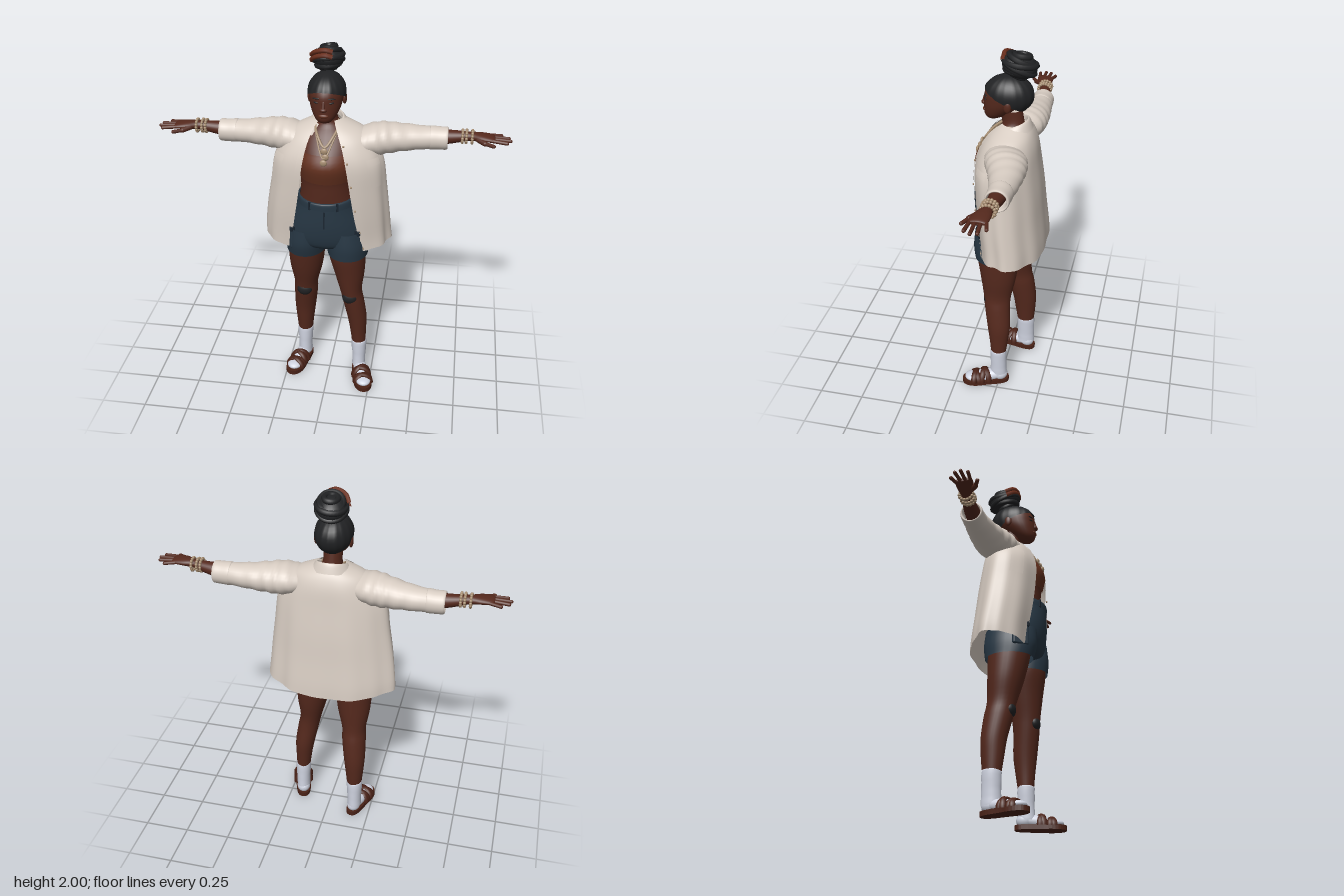
import * as THREE from 'three';
import { RoundedBoxGeometry } from 'three/addons/geometries/RoundedBoxGeometry.js';

const mat = (name, color, side = THREE.FrontSide) => {
  const m = new THREE.MeshStandardMaterial({ color, side });
  m.name = name;
  return m;
};
const M = {
  skin: mat('skin', 0x55291d), top: mat('topBrown', 0x64311f),
  shirt: mat('shirtCream', 0xd8cdc3, THREE.DoubleSide),
  shorts: mat('shortsNavy', 0x273744, THREE.DoubleSide), trim: mat('darkNavy', 0x1a2530),
  black: mat('hairBlack', 0x212224, THREE.DoubleSide), rust: mat('rustStrand', 0x6b2f1d),
  sandal: mat('sandalBrown', 0x4b2318), sock: mat('sockWhite', 0xcfd3e0), bead: mat('beadTan', 0xa58c70),
};

// Surface from a rule f(u, v) -> [x, y, z]
function grid(f, nu, nv, closed, flip) {
  const pos = [], idx = [], w = closed ? nv : nv + 1;
  for (let i = 0; i <= nu; i++) for (let j = 0; j < w; j++) pos.push(...f(i / nu, j / nv));
  for (let i = 0; i < nu; i++) for (let j = 0; j < nv; j++) {
    const k = (j + 1) % w, a = i * w + j, b = i * w + k, c = a + w, d = b + w;
    if (flip) idx.push(a, d, b, a, c, d); else idx.push(a, b, d, a, d, c);
  }
  const g = new THREE.BufferGeometry();
  g.setAttribute('position', new THREE.Float32BufferAttribute(pos, 3));
  g.setIndex(idx);
  g.computeVertexNormals();
  return g;
}

// Smooth value between cross-sections, u from 0 to 1
function sample(S, u) {
  const t = u * (S.length - 1), i = Math.min(Math.floor(t), S.length - 2), f = t - i;
  const at = (k) => S[Math.max(0, Math.min(S.length - 1, k))];
  return S[i].map((p1, c) => {
    const p0 = at(i - 1)[c], p2 = at(i + 1)[c], p3 = at(i + 2)[c];
    return p1 + 0.5 * f * (p2 - p0 + f * (2 * p0 - 5 * p1 + 4 * p2 - p3 + f * (3 * (p1 - p2) + p3 - p0)));
  });
}

// Oval sections [along, min1, max1, min2, max2, openMinX, openMaxX] along y (x, z) or x (y, z)
function loft(S, { axis = 'y', n = 28, steps = 4, u = [0, 1], v = [0, 1], grow = 0, fold, cap = false } = {}) {
  if (cap) {
    const tip = (s) => [s[0], ...[1, 3].flatMap((k) => {
      const c = (s[k] + s[k + 1]) / 2;
      return [c - 0.001, c + 0.001];
    })];
    S = [tip(S[0]), ...S, tip(S[S.length - 1])];
  }
  const open = S[0].length > 5;
  const flip = (S[S.length - 1][0] < S[0][0]) !== (axis === 'x');
  return grid((a, b) => {
    const uu = u[0] + (u[1] - u[0]) * a, vv = v[0] + (v[1] - v[0]) * b;
    const s = sample(S, uu), c = (s[1] + s[2]) / 2, d = (s[3] + s[4]) / 2, r = (s[2] - s[1]) / 2;
    const t0 = open ? Math.asin((s[6] - c) / r) : 0;
    const t1 = open ? Math.PI * 2 + Math.asin((s[5] - c) / r) : Math.PI * 2;
    const t = t0 + (t1 - t0) * vv, [k, dy] = fold ? fold(uu, t) : [1, 0];
    const p = c + (r * k + grow) * Math.sin(t), q = d + ((s[4] - s[3]) / 2 * k + grow) * Math.cos(t);
    return axis === 'y' ? [p, s[0] + dy, q] : [s[0], p, q];
  }, (S.length - 1) * steps, n, !open && v[1] - v[0] === 1, flip);
}

function add(parent, name, geo, material, pos = [0, 0, 0], rot = [0, 0, 0], scale = [1, 1, 1]) {
  const m = new THREE.Mesh(geo, material);
  m.name = name;
  m.position.set(...pos); m.rotation.set(...rot); m.scale.set(...scale);
  parent.add(m);
  return m;
}
const ball = (p, name, material, pos, size, rot) => add(p, name, new THREE.SphereGeometry(1, 20, 14), material, pos, rot, size);
const tube = (pts, r, closed) => new THREE.TubeGeometry(
  new THREE.CatmullRomCurve3(pts.map((p) => new THREE.Vector3(...p)), closed), 48, r, 7, closed);
function rod(p, name, material, a, b, r) {
  const A = new THREE.Vector3(...a), d = new THREE.Vector3(...b).sub(A), l = d.length();
  const m = add(p, name, new THREE.CapsuleGeometry(r, l, 4, 8), material, A.addScaledVector(d, 0.5).toArray());
  m.quaternion.setFromUnitVectors(new THREE.Vector3(0, 1, 0), d.normalize());
}

function buildHead(g) {
  const X = -0.017;
  const face = [[1.638, 0.03, 0.04, 0.095], [1.66, 0.054, -0.01, 0.112], [1.7, 0.075, -0.06, 0.114],
    [1.74, 0.086, -0.1, 0.113], [1.785, 0.088, -0.115, 0.108], [1.83, 0.073, -0.1, 0.08], [1.855, 0.03, -0.05, 0.03]];
  add(g, 'face', loft(face.map(([y, r, b, f]) => [y, X - r, X + r, b, f]), { cap: true }), M.skin);
  ball(g, 'nose', M.skin, [X, 1.716, 0.112], [0.02, 0.012, 0.017]);
  rod(g, 'noseBridge', M.skin, [X, 1.755, 0.106], [X, 1.722, 0.116], 0.009);
  ball(g, 'lips', M.top, [X, 1.682, 0.109], [0.026, 0.011, 0.011]);
  for (const s of [-1, 1]) {
    ball(g, 'ear', M.skin, [X + s * 0.09, 1.735, -0.025], [0.012, 0.032, 0.02]);
    ball(g, 'eye', M.black, [X + s * 0.038, 1.75, 0.098], [0.015, 0.005, 0.006], [0, s * 0.4, 0]);
    ball(g, 'brow', M.black, [X + s * 0.04, 1.771, 0.098], [0.022, 0.004, 0.005], [0, s * 0.4, -s * 0.1]);
  }
  // Hair cap: an ellipsoid cut along the hairline
  add(g, 'hairCap', grid((u, v) => {
    const t = v * Math.PI * 2, low = Math.asin((-0.025 + 0.06 * Math.cos(t)) / 0.105);
    const f = low + (Math.PI / 2 - low) * u, r = Math.cos(f) * (1 + 0.012 * Math.cos(16 * t));
    return [X + 0.099 * r * Math.sin(t), 1.77 + 0.105 * Math.sin(f), -0.015 + 0.13 * r * Math.cos(t)];
  }, 14, 64, true), M.black);
  // Bun wound from twisted strands
  const bun = new THREE.Group();
  bun.name = 'bun';
  bun.position.set(X, 1.928, -0.07);
  bun.rotation.x = -0.25;
  g.add(bun);
  ball(bun, 'bunCore', M.black, [0, 0, 0], [0.08, 0.062, 0.092]);
  for (let i = 0; i < 6; i++) {
    const c = Math.cos(-1.1 + i * 0.44);
    add(bun, 'bunStrand', new THREE.TorusGeometry(0.074 * c, 0.015, 7, 32), M.black,
      [0, -0.05 + i * 0.021, 0], [Math.PI / 2 + 0.14 * (i % 2 ? 1 : -1), 0.12, 0], [1, 1.12, 1]);
  }
  for (const y of [0.0, 0.026]) add(bun, 'rustStrand', tube([[-0.083, y - 0.012, 0.025], [-0.055, y + 0.006, 0.07],
    [-0.005, y + 0.016, 0.09], [0.03, y + 0.008, 0.084]], 0.013), M.rust);
}

function buildTorso(g) {
  const torso = [[1.17, -0.165, 0.14, -0.13, 0.13], [1.24, -0.155, 0.13, -0.13, 0.135], [1.31, -0.155, 0.13, -0.13, 0.14],
    [1.4, -0.165, 0.14, -0.13, 0.16], [1.47, -0.165, 0.14, -0.125, 0.13], [1.55, -0.14, 0.115, -0.115, 0.066],
    [1.595, -0.08, 0.055, -0.1, 0.025], [1.63, -0.065, 0.034, -0.095, 0.02], [1.69, -0.065, 0.034, -0.085, 0.04]];
  add(g, 'body', loft(torso), M.skin);
  add(g, 'cropTop', loft(torso.slice(2, 5), { grow: 0.004 }), M.top);
  // Necklaces and pendant
  for (const [d, r] of [[0, 0.007], [0.05, 0.0045]]) add(g, 'necklace', tube([[-0.072, 1.6, 0], [-0.052, 1.555 - d / 2, 0.075 + d / 4],
    [-0.012, 1.51 - d, 0.112 + d / 1.4], [0.027, 1.555 - d / 2, 0.075 + d / 4], [0.048, 1.6, 0], [-0.012, 1.615, -0.1]], r, true), M.bead);
  for (let i = 0; i < 3; i++) ball(g, 'pendant', M.bead, [-0.012 + 0.008 * (i % 2), 1.495 - i * 0.027, 0.127 + i * 0.013], [0.019, 0.018, 0.009]);
}

function buildShirt(g) {
  const S = [[0.885, -0.37, 0.335, -0.23, 0.125, -0.215, 0.19], [0.96, -0.367, 0.328, -0.226, 0.13, -0.2, 0.175],
    [1.1, -0.35, 0.317, -0.212, 0.145, -0.175, 0.15], [1.25, -0.325, 0.302, -0.2, 0.155, -0.15, 0.128],
    [1.4, -0.3, 0.285, -0.182, 0.155, -0.13, 0.105], [1.5, -0.25, 0.24, -0.17, 0.125, -0.11, 0.08],
    [1.56, -0.2, 0.19, -0.152, 0.085, -0.09, 0.055], [1.6, -0.125, 0.105, -0.13, 0.045, -0.07, 0.035],
    [1.62, -0.085, 0.06, -0.112, 0.02, -0.055, 0.025]];
  const fold = (u, t) => {
    const w = Math.max(0, 1 - u * 1.25);
    return [1 + w * (0.024 * Math.cos(7 * t) + 0.012 * Math.sin(13 * t)), 0.02 * w * w * Math.sin(t) ** 2 * 1.5];
  };
  const piece = (name, o, m = M.shirt) => add(g, name, loft(S, { n: 72, steps: 4, fold, ...o }), m);
  piece('shirtBody');
  for (const v of [[0, 0.022], [0.978, 1]]) piece('placket', { v, n: 3, u: [0, 0.9], grow: 0.005 });
  for (const v of [[0.08, 0.15], [0.85, 0.92]]) {
    piece('breastPocket', { v, n: 8, u: [0.4, 0.54], grow: 0.006 });
    piece('pocketFlap', { v, n: 8, u: [0.51, 0.55], grow: 0.01 });
  }
  for (let i = 0; i < 6; i++) {
    const s = sample(S, 0.06 + i * 0.12), r = (s[2] - s[1]) / 2, k = (s[6] + 0.012 - (s[1] + s[2]) / 2) / r;
    ball(g, 'button', M.bead, [s[6] + 0.012, s[0], (s[3] + s[4]) / 2 + (s[4] - s[3]) / 2 * Math.sqrt(1 - k * k) + 0.006], [0.006, 0.006, 0.004]);
  }
  // Folded collar, lower at the front
  add(g, 'collar', loft([[1.595, -0.085, 0.06, -0.112, 0.025, -0.055, 0.03], [1.625, -0.087, 0.062, -0.115, 0.03, -0.055, 0.03],
    [1.618, -0.1, 0.075, -0.127, 0.045, -0.06, 0.035], [1.575, -0.13, 0.108, -0.143, 0.085, -0.085, 0.06]],
  { n: 40, fold: (u, t) => [1, -0.025 * Math.cos(t) - 0.006] }), M.shirt);
}

function buildArm(g, s) {
  const lift = (x) => (s < 0 ? -0.025 * Math.min(1, Math.max(0, (x - 0.2) / 0.35)) : 0.002);
  const sec = ([x, y, ry, z, rz]) => [s * x, y + lift(x) - ry, y + lift(x) + ry, z - rz, z + rz];
  // Creased sleeve with rolled cuff
  add(g, 'sleeve', loft([[0.12, 1.5, 0.05, -0.03, 0.09], [0.19, 1.502, 0.075, -0.045, 0.11], [0.26, 1.505, 0.084, -0.06, 0.108],
    [0.33, 1.507, 0.077, -0.075, 0.095], [0.43, 1.508, 0.066, -0.088, 0.078], [0.54, 1.51, 0.058, -0.093, 0.06]].map(sec),
  { axis: 'x', steps: 6, fold: (u, t) => [1 + 0.035 * Math.sin(u * 38 + 2 * t) * Math.sin(u * 3.1), 0] }), M.shirt);
  add(g, 'cuff', loft([[0.515, 1.51, 0.055, -0.093, 0.055], [0.52, 1.51, 0.063, -0.093, 0.063], [0.565, 1.51, 0.061, -0.093, 0.061],
    [0.605, 1.511, 0.06, -0.092, 0.06], [0.608, 1.511, 0.05, -0.092, 0.05], [0.57, 1.511, 0.045, -0.092, 0.045]].map(sec), { axis: 'x' }), M.shirt);
  // Forearm and palm
  add(g, 'forearmAndPalm', loft([[0.5, 1.515, 0.04, -0.09, 0.042], [0.6, 1.52, 0.038, -0.09, 0.04], [0.68, 1.53, 0.029, -0.085, 0.032],
    [0.73, 1.537, 0.023, -0.078, 0.029], [0.78, 1.54, 0.021, -0.068, 0.043], [0.83, 1.54, 0.016, -0.062, 0.046],
    [0.85, 1.539, 0.01, -0.06, 0.04]].map(sec), { axis: 'x', cap: true }), M.skin);
  const y = 1.54 + lift(1);
  [0.885, 0.922, 0.93, 0.912].forEach((x, i) => rod(g, 'finger', M.skin,
    [s * 0.82, y, -0.097 + i * 0.023], [s * x, y - 0.006, -0.112 + i * 0.032], 0.0095));
  rod(g, 'thumb', M.skin, [s * 0.765, y - 0.006, -0.045], [s * 0.8, y - 0.012, -0.012], 0.014);
  rod(g, 'thumbTip', M.skin, [s * 0.8, y - 0.012, -0.012], [s * 0.845, y - 0.014, 0.012], 0.01);
  // Beaded bracelets
  for (const x of [0.685, 0.705, 0.735]) for (let i = 0; i < 14; i++) {
    const a = i / 14 * Math.PI * 2;
    ball(g, 'braceletBead', M.bead, [s * x, 1.533 + lift(x) + 0.032 * Math.sin(a), -0.081 + 0.035 * Math.cos(a)], [0.008, 0.009, 0.009]);
  }
}

function buildShorts(g) {
  const hips = [[0.875, -0.1, 0.07, -0.06, 0.05], [0.91, -0.2, 0.17, -0.13, 0.125], [0.96, -0.233, 0.203, -0.15, 0.152],
    [1.05, -0.215, 0.187, -0.155, 0.166], [1.15, -0.177, 0.152, -0.145, 0.168], [1.205, -0.168, 0.142, -0.14, 0.166]];
  add(g, 'shortsHips', loft(hips), M.shorts);
  add(g, 'waistband', loft([[1.165, -0.175, 0.149, -0.146, 0.17], [1.2, -0.17, 0.144, -0.142, 0.17], [1.207, -0.16, 0.134, -0.13, 0.16]]), M.shorts);
  add(g, 'shortsLegLeft', loft([[0.845, -0.008, 0.216, -0.11, 0.145], [0.92, -0.01, 0.216, -0.12, 0.152], [1.01, 0, 0.195, -0.12, 0.145]]), M.shorts);
  add(g, 'shortsLegRight', loft([[0.845, -0.242, -0.023, -0.14, 0.12], [0.92, -0.24, -0.02, -0.148, 0.14], [1.01, -0.224, -0.03, -0.14, 0.14]]), M.shorts);
  for (const s of [-1, 1]) {
    const x = -0.013 + s * 0.198;
    add(g, 'cargoPocket', new RoundedBoxGeometry(0.09, 0.13, 0.03, 2, 0.01), M.shorts, [x, 0.955, 0.07], [0, s * 0.95, 0]);
    add(g, 'cargoFlap', new RoundedBoxGeometry(0.095, 0.035, 0.036, 2, 0.008), M.trim, [x, 1.012, 0.07], [0, s * 0.95, 0]);
    add(g, 'beltLoop', new THREE.BoxGeometry(0.012, 0.045, 0.008), M.trim, [-0.013 + s * 0.075, 1.185, 0.152], [0, s * 0.4, 0]);
  }
  add(g, 'fly', new THREE.BoxGeometry(0.006, 0.1, 0.004), M.trim, [-0.008, 1.11, 0.168]);
}

function buildLeg(g, name, S, sock, knee, ankle, turn) {
  add(g, name + 'Leg', loft(S), M.skin);
  ball(g, name + 'KneePatch', M.black, knee, [0.043, 0.04, 0.027]);
  add(g, name + 'Sock', loft(sock, { fold: (u, t) => [1 + 0.02 * Math.sin(u * 30 + t), 0] }), M.sock);
  const foot = new THREE.Group();
  foot.name = name + 'Foot';
  foot.position.set(...ankle);
  foot.rotation.y = turn;
  g.add(foot);
  // Sole outline, seen from above
  const o = new THREE.Shape();
  o.moveTo(0, -0.062);
  o.bezierCurveTo(0.05, -0.062, 0.04, 0.02, 0.048, 0.09);
  o.bezierCurveTo(0.062, 0.16, 0.04, 0.212, 0, 0.212);
  o.bezierCurveTo(-0.04, 0.212, -0.062, 0.16, -0.048, 0.09);
  o.bezierCurveTo(-0.04, 0.02, -0.05, -0.062, 0, -0.062);
  add(foot, 'sole', new THREE.ExtrudeGeometry(o, { depth: 0.026, bevelEnabled: false, curveSegments: 10 }), M.sandal, [0, 0.026, 0], [Math.PI / 2, 0, 0]);
  ball(foot, 'sockFoot', M.sock, [0, 0.045, 0.055], [0.039, 0.036, 0.11], [0.12, 0, 0]);
  ball(foot, 'sockToes', M.sock, [0, 0.038, 0.15], [0.043, 0.022, 0.048]);
  ball(foot, 'sockHeel', M.sock, [0, 0.05, -0.01], [0.039, 0.04, 0.044]);
  // Crossed straps
  [[0.075, 0.35, 0.066], [0.085, -0.35, 0.064], [0.13, 0.3, 0.05], [0.135, -0.3, 0.052]].forEach(([z, a, h]) =>
    add(foot, 'strap', new THREE.TorusGeometry(0.049, 0.01, 8, 24, Math.PI), M.sandal, [0, 0.02, z], [0, a, 0], [1.04, h / 0.055, 1.7]));
}

export function createModel() {
  const g = new THREE.Group();
  g.name = 'standingFigure';
  buildHead(g);
  buildTorso(g);
  buildShirt(g);
  for (const s of [-1, 1]) buildArm(g, s);
  buildShorts(g);
  buildLeg(g, 'left', [[0.19, 0.137, 0.213, -0.035, 0.045], [0.3, 0.123, 0.215, -0.05, 0.056], [0.4, 0.105, 0.216, -0.06, 0.07],
    [0.52, 0.08, 0.2, -0.055, 0.088], [0.6, 0.062, 0.187, -0.06, 0.098], [0.72, 0.028, 0.2, -0.085, 0.115], [0.85, -0.005, 0.205, -0.1, 0.135], [0.95, 0, 0.2, -0.1, 0.13]],
  [[0.05, 0.137, 0.214, -0.045, 0.055], [0.12, 0.137, 0.215, -0.042, 0.05], [0.225, 0.13, 0.219, -0.041, 0.051], [0.226, 0.14, 0.21, -0.03, 0.04]],
  [0.124, 0.565, 0.071], [0.178, 0, 0.005], 0.28);
  buildLeg(g, 'right', [[0.19, -0.2, -0.12, -0.137, -0.047], [0.3, -0.21, -0.108, -0.148, -0.03], [0.4, -0.217, -0.095, -0.152, -0.015],
    [0.52, -0.215, -0.08, -0.14, 0.015], [0.6, -0.212, -0.075, -0.125, 0.033], [0.72, -0.23, -0.045, -0.125, 0.07], [0.85, -0.235, -0.028, -0.125, 0.1], [0.95, -0.23, -0.03, -0.12, 0.11]],
  [[0.05, -0.202, -0.122, -0.145, -0.04], [0.12, -0.202, -0.121, -0.143, -0.042], [0.225, -0.207, -0.114, -0.143, -0.041], [0.226, -0.195, -0.125, -0.13, -0.055]],
  [-0.147, 0.555, 0.003], [-0.163, 0, -0.09], -0.28);
  return g;
}
